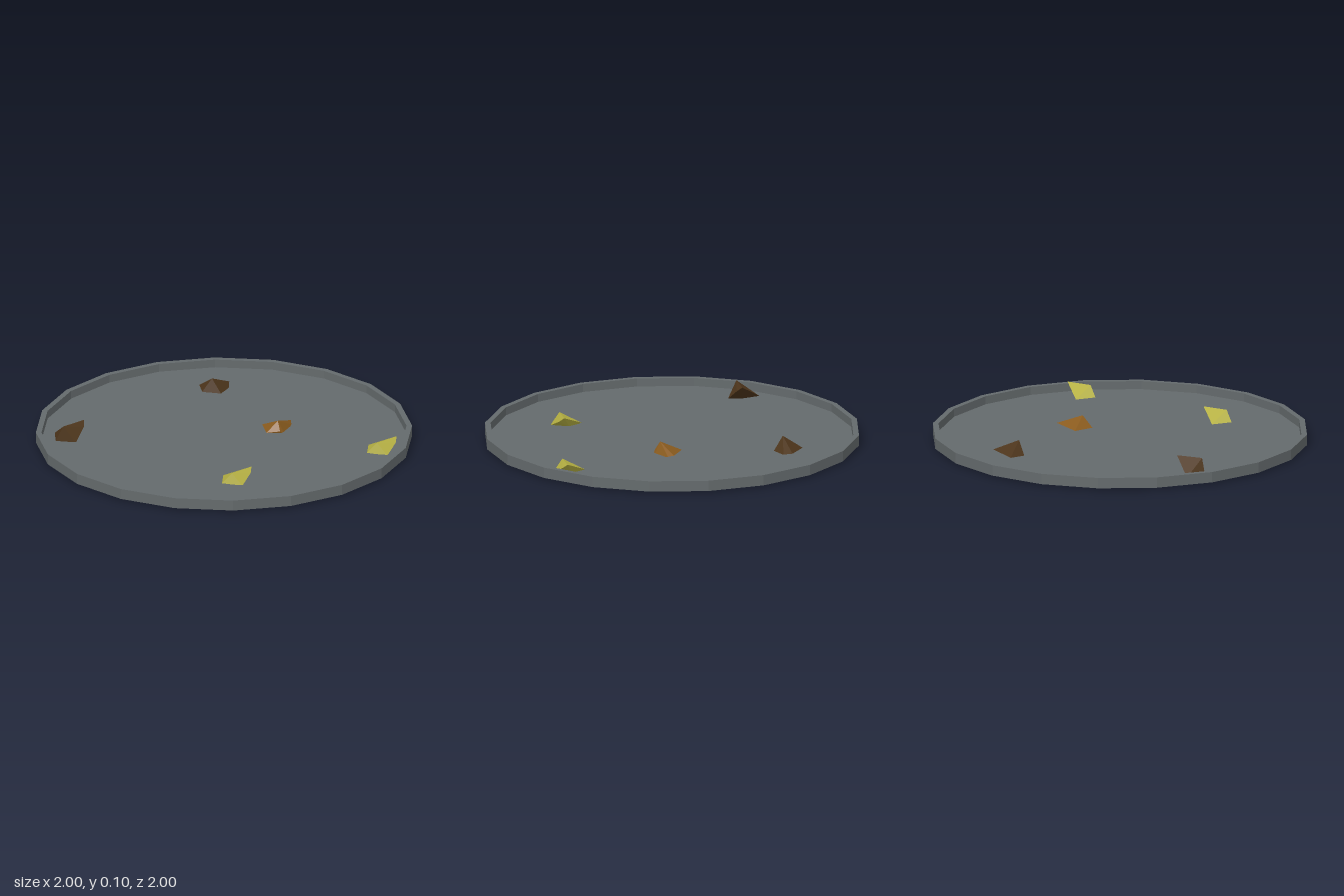
import * as THREE from 'three';
import { ConvexGeometry } from 'three/addons/geometries/ConvexGeometry.js';

const paint = (color) => new THREE.MeshStandardMaterial({ color, flatShading: true });

// Faceted chip: convex hull of its corners, given as [x, y, z]
function chip(name, color, corners, x = 0, z = 0) {
  const mesh = new THREE.Mesh(
    new ConvexGeometry(corners.map((c) => new THREE.Vector3(...c))),
    paint(color)
  );
  mesh.name = name;
  mesh.position.set(x, 0, z);
  return mesh;
}

export function createModel() {
  const model = new THREE.Group();
  model.name = 'trayWithChips';

  // Shallow 20-sided tray with a thin raised rim
  const profile = [
    [0, 0.008], [1, 0.008], [1, 0.065], [0.97, 0.065], [0.97, 0.021], [0, 0.021],
  ].map(([r, y]) => new THREE.Vector2(r, y));
  const tray = new THREE.Mesh(new THREE.LatheGeometry(profile, 20), paint(0x646a6c));
  tray.name = 'tray';
  model.add(tray);

  // Two matching yellow chips, sunk slightly into the floor
  const yellow = [
    [-0.07, 0.024, -0.067], [-0.083, 0.024, 0.045], [-0.03, 0.08, 0.045],
    [0.078, 0.084, -0.035], [0.072, 0.06, -0.003], [0.024, 0.018, 0.072],
    [0, 0.014, -0.03],
  ];
  model.add(chip('frontYellowChip', 0xb5b042, yellow, 0.04, 0.61));
  model.add(chip('leftYellowChip', 0xb5b042, yellow, 0.83, 0.225));

  // Brown chip standing higher, with a long level ridge
  model.add(chip('rightBrownChip', 0x4d351b, [
    [-0.075, 0.022, -0.125], [-0.075, 0.022, -0.015], [-0.035, 0.105, -0.01],
    [0.08, 0.105, -0.098], [0.078, 0.08, -0.065], [0.03, 0.016, 0.01],
    [0, 0.014, -0.06],
  ], -0.82, 0.03));

  // Brown chip with a single peak
  model.add(chip('backBrownChip', 0x4d351b, [
    [-0.096, 0.024, -0.72], [-0.085, 0.022, -0.63], [-0.033, 0.096, -0.633],
    [0.064, 0.035, -0.735], [0.059, 0.022, -0.68], [0.016, 0.016, -0.6],
    [-0.02, 0.013, -0.67],
  ]));

  // Orange chip whose lowest corner pierces the tray
  model.add(chip('middleOrangeChip', 0x8a5b1e, [
    [0.21, 0.024, -0.155], [0.228, 0.022, -0.04], [0.289, 0.08, -0.065],
    [0.365, 0.035, -0.18], [0.365, 0.025, -0.145], [0.3, 0.03, -0.036],
    [0.33, 0, -0.045 ],
  ]));

  return model;
}
